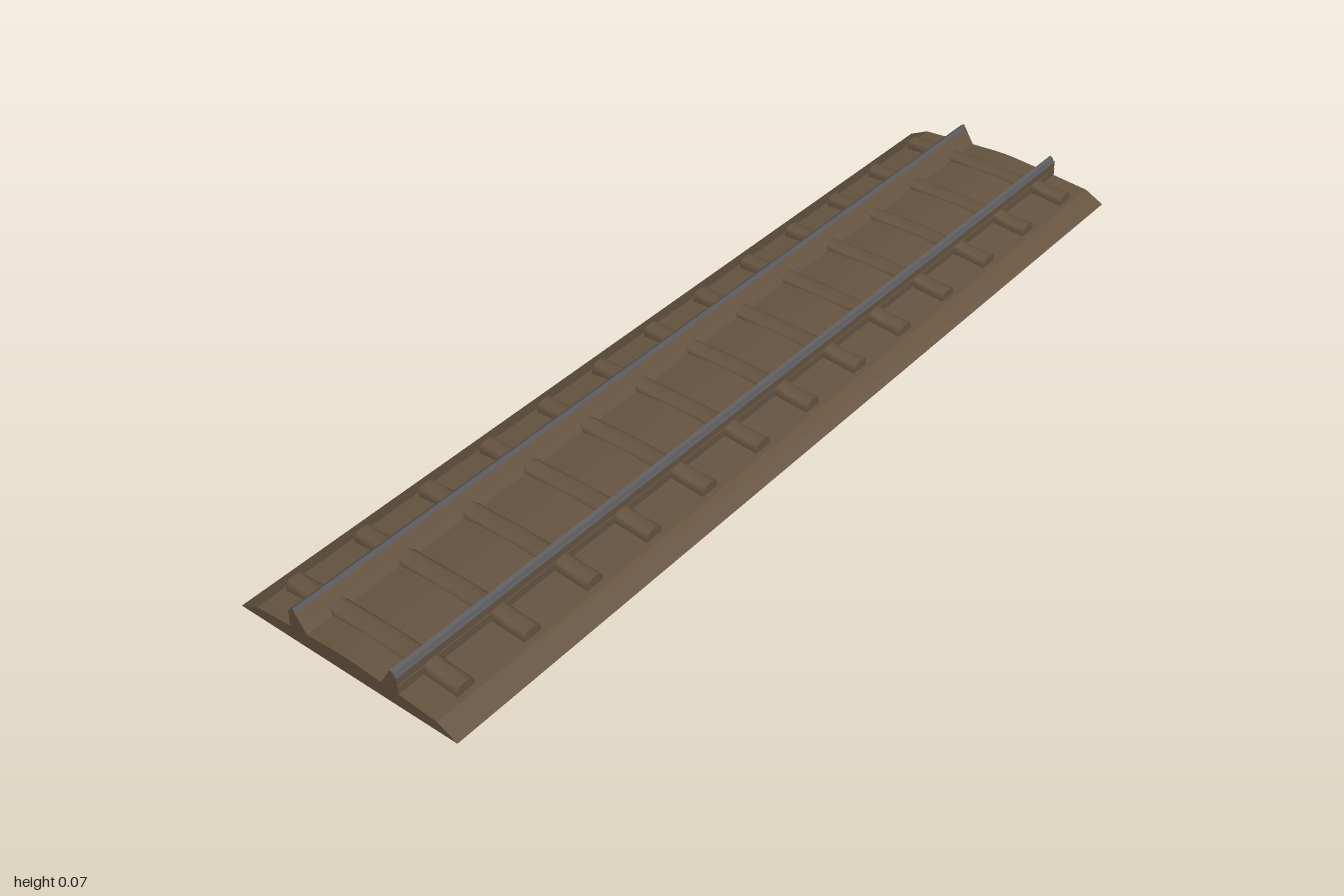
import * as THREE from 'three';

const LENGTH = 2, TIES = 13, SPACING = 0.154;

// Right half of the embankment profile, from the edge to the crown
const BANK = [[0.25, 0], [0.208, 0.021], [0.125, 0.028], [0.085, 0.031], [0.03, 0.035], [0, 0.036]];

// Left-to-right profile from a right half that ends at x = 0
const mirrored = (half) => [...half.map(([x, y]) => [-x, y]), ...half.slice(0, -1).reverse()];

const toShape = (points) => new THREE.Shape(points.map(([x, y]) => new THREE.Vector2(x, y)));

// Extrude an x/y outline along z, centred on the origin
function extrudeZ(points, length) {
  return new THREE.ExtrudeGeometry(toShape(points), { depth: length, bevelEnabled: false })
    .translate(0, 0, -length / 2);
}

// Open sheet following an x/y profile along z
function sheetZ(profile, length) {
  const sheet = new THREE.PlaneGeometry(1, length, profile.length - 1, 1).rotateX(-Math.PI / 2);
  const p = sheet.attributes.position;
  for (let i = 0; i < p.count; i++) {
    const [x, y] = profile[i % profile.length];
    p.setX(i, x);
    p.setY(i, y);
  }
  const flat = sheet.toNonIndexed();
  flat.computeVertexNormals();
  return flat;
}

// Sleeper: a rounded arch lofted along x, resting on the bank and rising to the rails
function sleeperGeometry() {
  const section = [[0.02, 0], [0.019, 0.55], [0.014, 0.9], [0.006, 1],
    [-0.006, 1], [-0.014, 0.9], [-0.019, 0.55], [-0.02, 0]];
  // x, bottom, top
  const half = [[0.198, 0.0225, 0.042], [0.15, 0.0265, 0.042], [0.125, 0.0285, 0.048],
    [0.1, 0.0305, 0.047], [0.08, 0.032, 0.042], [0.03, 0.0355, 0.042], [0, 0.0365, 0.042]];
  const stations = [...half.map(([x, b, t]) => [-x, b, t]), ...half.slice(0, -1).reverse()];
  const n = section.length, pos = [], idx = [];
  const ring = ([x, bottom, top]) => {
    for (const [z, t] of section) pos.push(x, bottom + (top - bottom) * t, z);
  };
  stations.forEach(ring);
  for (let s = 0; s < stations.length - 1; s++)
    for (let i = 0; i < n - 1; i++) {
      const a = s * n + i, b = a + 1;
      idx.push(a, a + n, b, b, a + n, b + n);
    }
  // End caps with their own corners, so their edges stay sharp
  const first = stations.length * n, last = first + n;
  ring(stations[0]);
  ring(stations[stations.length - 1]);
  for (let i = 1; i < n - 1; i++) {
    idx.push(first, first + i, first + i + 1);
    idx.push(last, last + i + 1, last + i);
  }
  const g = new THREE.BufferGeometry();
  g.setAttribute('position', new THREE.Float32BufferAttribute(pos, 3));
  g.setIndex(idx);
  g.computeVertexNormals();
  return g;
}

export function createModel() {
  const group = new THREE.Group();
  const earth = new THREE.MeshStandardMaterial({
    name: 'earth brown', color: 0x665440, side: THREE.DoubleSide,
  });
  const steel = new THREE.MeshStandardMaterial({ name: 'rail grey', color: 0x5a5a5c });
  const add = (name, geometry, material, parent = group) => {
    const mesh = new THREE.Mesh(geometry, material);
    mesh.name = name;
    parent.add(mesh);
    return mesh;
  };

  // Low embankment: a crowned shell with closed ends, open underneath
  const bank = mirrored(BANK);
  add('ballast', sheetZ(bank, LENGTH), earth);
  const end = new THREE.ShapeGeometry(toShape(bank));
  add('ballastFrontEnd', end, earth).position.z = LENGTH / 2;
  const backEnd = add('ballastBackEnd', end, earth);
  backEnd.position.z = -LENGTH / 2;
  backEnd.rotation.y = Math.PI;

  // Rails: upright outer face, banked inner face, worn grey head
  for (const side of [1, -1]) {
    const rail = new THREE.Group();
    rail.name = side > 0 ? 'leftRail' : 'rightRail';
    group.add(rail);
    const flip = (pts) => pts.map(([x, y]) => [x * side, y]);
    add('railBody', extrudeZ(flip([
      [0.125, 0.028], [0.125, 0.045], [0.1242, 0.046], [0.1242, 0.062], [0.121, 0.063],
      [0.118, 0.069], [0.112, 0.073], [0.105, 0.062], [0.095, 0.046], [0.085, 0.031],
    ]), LENGTH), earth, rail);
    add('railHead', extrudeZ(flip([
      [0.1247, 0.061], [0.1247, 0.0625], [0.1215, 0.0635], [0.1185, 0.0695], [0.112, 0.0735],
      [0.1065, 0.0655], [0.1075, 0.065], [0.112, 0.071], [0.117, 0.067], [0.12, 0.061],
    ]), LENGTH - 0.002), steel, rail);

    // Rail foot showing underneath between the sleepers
    for (let i = 0; i < TIES - 1; i++) {
      const foot = add('railFoot', new THREE.BoxGeometry(0.026, 0.003, 0.115), steel, rail);
      foot.position.set(0.114 * side, 0.0265, (i - (TIES - 2) / 2) * SPACING);
    }
  }

  // Sleepers
  const sleeper = sleeperGeometry();
  for (let i = 0; i < TIES; i++) {
    const z = (i - (TIES - 1) / 2) * SPACING;
    add('sleeper', sleeper, earth).position.z = z;
    // Chair holding the right rail
    add('railChair', new THREE.BoxGeometry(0.012, 0.008, 0.022), earth)
      .position.set(-0.129, 0.046, z);
  }
  return group;
}
